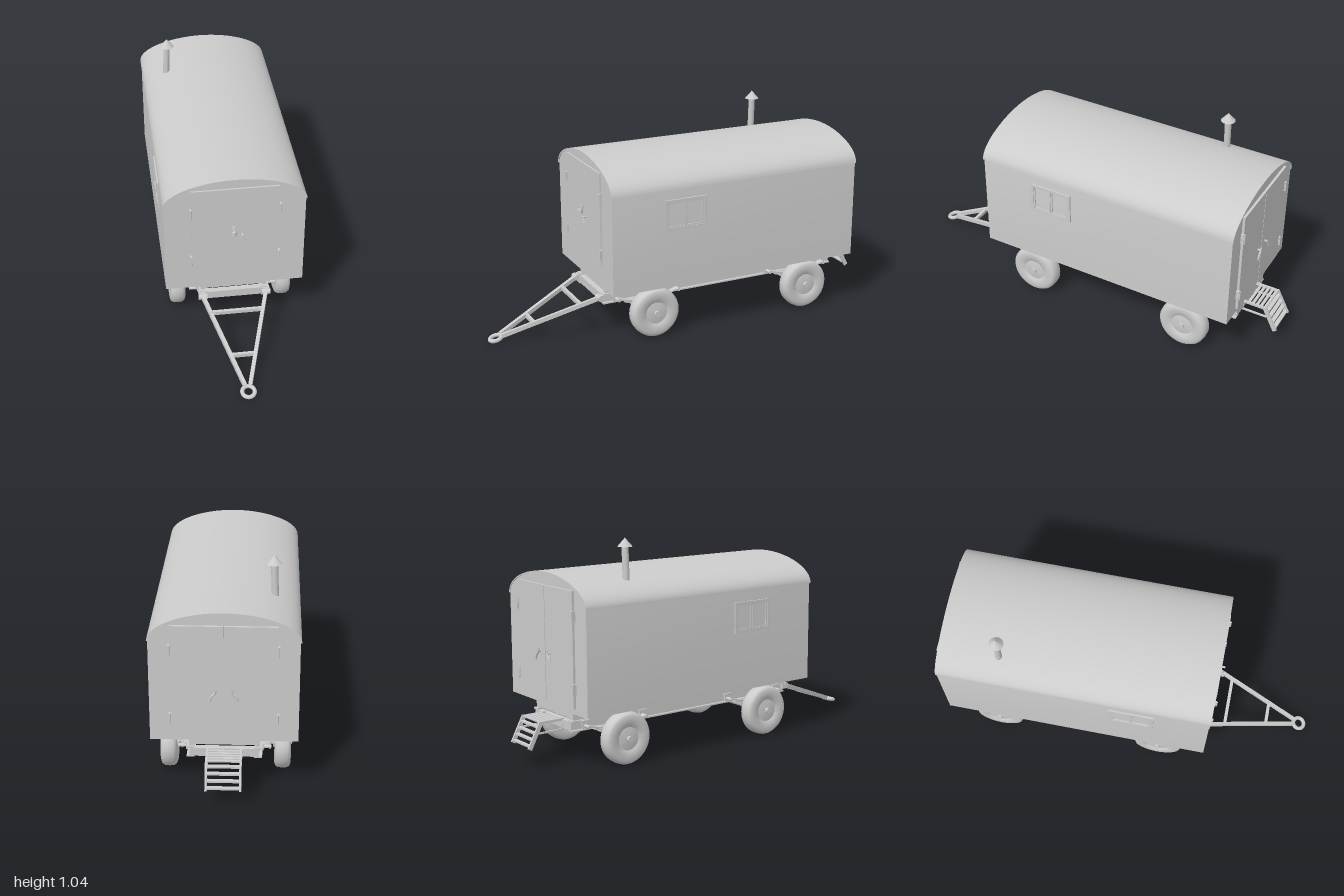
import * as THREE from 'three';
import { toCreasedNormals } from 'three/addons/utils/BufferGeometryUtils.js';

const grey = new THREE.MeshStandardMaterial({ color: 0xcccccc });

export function createModel() {
  const model = new THREE.Group();

  const add = (name, geometry, x = 0, y = 0, z = 0, parent = model) => {
    const mesh = new THREE.Mesh(geometry, grey);
    mesh.name = name;
    mesh.position.set(x, y, z);
    parent.add(mesh);
    return mesh;
  };
  // Box given by its low and high corners
  const box = (name, x0, x1, y0, y1, z0, z1, parent = model) =>
    add(name, new THREE.BoxGeometry(x1 - x0, y1 - y0, z1 - z0), (x0 + x1) / 2, (y0 + y1) / 2, (z0 + z1) / 2, parent);
  // Square bar or round rod between two points
  const bar = (name, a, b, w, h = w, parent = model) => {
    const A = new THREE.Vector3(...a), B = new THREE.Vector3(...b);
    const mesh = add(name, new THREE.BoxGeometry(w, h, A.distanceTo(B)), 0, 0, 0, parent);
    mesh.position.copy(A).add(B).multiplyScalar(0.5);
    mesh.lookAt(B);
    return mesh;
  };
  const rod = (name, a, b, r, parent = model, sides = 16) => {
    const A = new THREE.Vector3(...a), B = new THREE.Vector3(...b);
    const mesh = add(name, new THREE.CylinderGeometry(r, r, A.distanceTo(B), sides), 0, 0, 0, parent);
    mesh.position.copy(A).add(B).multiplyScalar(0.5);
    mesh.quaternion.setFromUnitVectors(new THREE.Vector3(0, 1, 0), B.sub(A).normalize());
    return mesh;
  };
  const extrude = (shape, depth) => toCreasedNormals(
    new THREE.ExtrudeGeometry(shape, { depth, bevelEnabled: false, curveSegments: 20 }), 0.5);
  const rect = (path, x0, x1, y0, y1) =>
    path.moveTo(x0, y0).lineTo(x1, y0).lineTo(x1, y1).lineTo(x0, y1).closePath();

  // Cabin walls
  const arch = (s, w, eave, top) => {
    s.bezierCurveTo(w - 0.005, eave + 0.075, 0.16, top, 0, top);
    s.bezierCurveTo(-0.16, top, -w + 0.005, eave + 0.075, -w, eave);
  };
  const wall = new THREE.Shape();
  wall.moveTo(-0.33, 0.265).lineTo(0.33, 0.265).lineTo(0.33, 0.755);
  arch(wall, 0.33, 0.755, 0.88);
  wall.closePath();
  add('cabin', extrude(wall, 1.325), 0, 0, -0.84);

  // Curved roof sheet lapping over the walls
  const roof = new THREE.Shape();
  roof.moveTo(0.327, 0.75).lineTo(0.335, 0.75);
  arch(roof, 0.335, 0.755, 0.885);
  roof.lineTo(-0.335, 0.75).lineTo(-0.327, 0.75).lineTo(-0.327, 0.755);
  roof.bezierCurveTo(-0.322, 0.825, -0.16, 0.877, 0, 0.877);
  roof.bezierCurveTo(0.16, 0.877, 0.322, 0.825, 0.327, 0.755);
  add('roof', extrude(roof, 1.334), 0, 0, -0.844);

  // Chimney
  rod('chimneyPipe', [-0.219, 0.83, -0.55], [-0.212, 1.005, -0.55], 0.016, model, 24);
  add('chimneyCap', new THREE.ConeGeometry(0.035, 0.04, 24), -0.212, 1.018, -0.55);

  // Side windows, each with two sashes
  for (const side of [1, -1]) {
    const window = new THREE.Group();
    window.name = 'window';
    const frame = rect(new THREE.Shape(), -0.11, 0.11, 0.55, 0.70);
    for (const c of [-0.048, 0.048]) {
      frame.holes.push(rect(new THREE.Path(), c - 0.046, c + 0.046, 0.562, 0.688));
      const sash = rect(new THREE.Shape(), c - 0.046, c + 0.046, 0.562, 0.688);
      sash.holes.push(rect(new THREE.Path(), c - 0.039, c + 0.039, 0.569, 0.681));
      add('sash', extrude(sash, 0.006), 0, 0, 0, window);
    }
    add('windowFrame', extrude(frame, 0.009), 0, 0, 0, window);
    window.rotation.y = side * Math.PI / 2;
    window.position.set(side * 0.329, 0, 0.108);
    model.add(window);
  }

  // Front door with hinges, padlock and latch
  box('frontDoor', -0.205, 0.205, 0.375, 0.835, 0.48, 0.493);
  for (const x of [-0.208, 0.208]) for (const y of [0.713, 0.437]) {
    box('hingePlate', x - 0.006, x + 0.006, y - 0.025, y + 0.025, 0.485, 0.498);
    rod('hingePin', [x, y - 0.025, 0.5], [x, y + 0.025, 0.5], 0.004);
  }
  rod('padlockBody', [-0.008, 0.582, 0.507], [-0.008, 0.602, 0.507], 0.013);
  add('padlockShackle', new THREE.TorusGeometry(0.009, 0.003, 8, 20), -0.008, 0.607, 0.507);
  box('hasp', -0.014, -0.002, 0.602, 0.622, 0.49, 0.503);
  bar('frontLatch', [0.031, 0.578, 0.511], [0.046, 0.546, 0.511], 0.008, 0.005);
  rod('frontLatchPin', [0.034, 0.574, 0.49], [0.034, 0.574, 0.512], 0.005);

  // Rear double door
  for (const s of [1, -1]) {
    box('rearDoor', s > 0 ? 0.002 : -0.235, s > 0 ? 0.235 : -0.002, 0.29, 0.825, -0.852, -0.835);
    for (const y of [0.71, 0.38]) {
      box('hingePlate', s * 0.237 - 0.006, s * 0.237 + 0.006, y - 0.025, y + 0.025, -0.856, -0.838);
      rod('hingePin', [s * 0.237, y - 0.025, -0.857], [s * 0.237, y + 0.025, -0.857], 0.004);
    }
    rod('rearHandlePin', [s * 0.04, 0.515, -0.85], [s * 0.04, 0.515, -0.868], 0.005);
    const grip = new THREE.CatmullRomCurve3([[0.036, 0.53], [0.04, 0.51], [0.055, 0.495], [0.062, 0.475]]
      .map(([x, y]) => new THREE.Vector3(s * x, y, -0.866)));
    add('rearHandle', new THREE.TubeGeometry(grip, 12, 0.005, 8));
  }

  // Subframe under the floor and ladder chassis below it
  for (const s of [1, -1]) {
    box('subframeRail', s * 0.15 - 0.01, s * 0.15 + 0.01, 0.215, 0.265, -0.81, 0.455);
    box('chassisWeb', s * 0.15 - 0.006, s * 0.15 + 0.006, 0.165, 0.215, -0.82, 0.47);
    box('chassisFlange', s * 0.152 - 0.018, s * 0.152 + 0.018, 0.209, 0.217, -0.82, 0.47);
    box('chassisFlange', s * 0.152 - 0.018, s * 0.152 + 0.018, 0.165, 0.172, -0.82, 0.47);
  }
  for (const z of [-0.8, 0.445]) box('subframeEnd', -0.15, 0.15, 0.225, 0.265, z - 0.01, z + 0.01);
  for (const z of [-0.805, -0.595, -0.38, -0.17, 0.04, 0.245, 0.455])
    box('crossBeam', -0.15, 0.15, 0.17, 0.21, z - 0.014, z + 0.014);

  // Wheel profile: radius, distance along the axle
  const profile = [[0, -0.036], [0.055, -0.03], [0.068, -0.036], [0.1, -0.038], [0.114, -0.033], [0.122, -0.022],
    [0.124, 0], [0.122, 0.022], [0.114, 0.033], [0.1, 0.038], [0.068, 0.036], [0.055, 0.028], [0.025, 0.033], [0, 0.033]];
  const wheelGeo = toCreasedNormals(
    new THREE.LatheGeometry(profile.map(([r, y]) => new THREE.Vector2(r, y)), 48).rotateZ(-Math.PI / 2), 0.6);

  // One curved spring leaf, drawn along z
  const leafGeometry = (half, drop) => {
    const s = new THREE.Shape();
    const sag = half * half * 1.1;
    s.moveTo(-half, sag - drop).quadraticCurveTo(0, -sag - drop, half, sag - drop);
    s.lineTo(half, sag - drop + 0.007).quadraticCurveTo(0, -sag - drop + 0.007, -half, sag - drop + 0.007);
    return extrude(s, 0.028).translate(0, 0, -0.014).rotateY(Math.PI / 2);
  };

  // Axles with wheels, leaf springs and clamps
  for (const z of [0.245, -0.595]) {
    const axle = new THREE.Group();
    axle.name = 'axleAssembly';
    axle.position.set(0, 0.125, z);
    model.add(axle);
    rod('axle', [-0.24, 0, 0], [0.24, 0, 0], 0.017, axle, 20);
    for (const s of [1, -1]) {
      add('wheel', wheelGeo, s * 0.263, 0, 0, axle).rotation.y = s > 0 ? 0 : Math.PI;
      rod('hub', [s * 0.21, 0, 0], [s * 0.308, 0, 0], 0.014, axle, 20);
      rod('hubFlange', [s * 0.218, 0, 0], [s * 0.23, 0, 0], 0.03, axle, 20);
      for (let i = 0; i < 4; i++)
        add('springLeaf', leafGeometry(0.16 - i * 0.033, -0.035 + i * 0.008), s * 0.19, 0, 0, axle);
      box('springSeat', s * 0.19 - 0.02, s * 0.19 + 0.02, 0.012, 0.024, -0.03, 0.03, axle);
      box('springTopPlate', s * 0.19 - 0.02, s * 0.19 + 0.02, 0.042, 0.05, -0.03, 0.03, axle);
      box('clampPlate', s * 0.19 - 0.02, s * 0.19 + 0.02, -0.022, -0.015, -0.03, 0.03, axle);
      for (const dx of [-0.015, 0.015]) for (const dz of [-0.022, 0.022])
        rod('clampBolt', [s * 0.19 + dx, -0.03, dz], [s * 0.19 + dx, 0.065, dz], 0.004, axle, 8);
      // Spring eyes and hangers on the chassis
      for (const dz of [-0.16, 0.16]) {
        rod('springEye', [s * 0.15, 0.063, dz], [s * 0.212, 0.063, dz], 0.008, axle);
        box('hanger', s * 0.172 - 0.004, s * 0.172 + 0.004, 0.05, 0.088, dz - 0.014, dz + 0.014, axle);
        box('hangerFoot', s * 0.168 - 0.014, s * 0.168 + 0.014, 0.083, 0.09, dz - 0.024, dz + 0.024, axle);
      }
    }
  }

  // Triangular drawbar with towing ring
  for (const s of [1, -1]) {
    bar('drawbarLeg', [s * 0.155, 0.198, 0.48], [s * 0.012, 0.03, 0.935], 0.018, 0.02);
    rod('drawbarPivot', [s * 0.132, 0.197, 0.485], [s * 0.175, 0.197, 0.485], 0.014);
    box('pivotBracket', s * 0.155 - 0.018, s * 0.155 + 0.018, 0.18, 0.212, 0.46, 0.482);
  }
  bar('drawbarCrossbar', [-0.128, 0.165, 0.57], [0.128, 0.165, 0.57], 0.016, 0.018);
  bar('drawbarCrossbar', [-0.06, 0.084, 0.785], [0.06, 0.084, 0.785], 0.016, 0.018);
  const ring = add('towRing', new THREE.TorusGeometry(0.029, 0.01, 12, 32), 0, 0.019, 0.962);
  ring.rotation.x = Math.PI / 2 + 0.25;

  // Rear steps: landing, braces and sloping ladder
  for (const s of [1, -1]) {
    const x = s * 0.076;
    bar('landingRail', [x, 0.209, -0.81], [x, 0.209, -0.935], 0.01, 0.012);
    bar('landingBrace', [x, 0.161, -0.81], [x, 0.161, -0.94], 0.008, 0.008);
    bar('ladderRail', [x, 0.213, -0.928], [x, 0.093, -0.99], 0.01, 0.02);
    bar('landingPost', [x, 0.161, -0.815], [x, 0.209, -0.815], 0.01);
  }
  for (let i = 0; i < 5; i++) {
    const z = -0.845 - i * 0.021;
    box('landingSlat', -0.076, 0.076, 0.208, 0.215, z - 0.007, z + 0.007);
  }
  for (let i = 0; i < 4; i++) {
    const y = 0.19 - i * 0.028, z = -0.94 - i * 0.0145;
    box('ladderRung', -0.076, 0.076, y - 0.004, y + 0.004, z - 0.01, z + 0.01);
  }

  return model;
}
